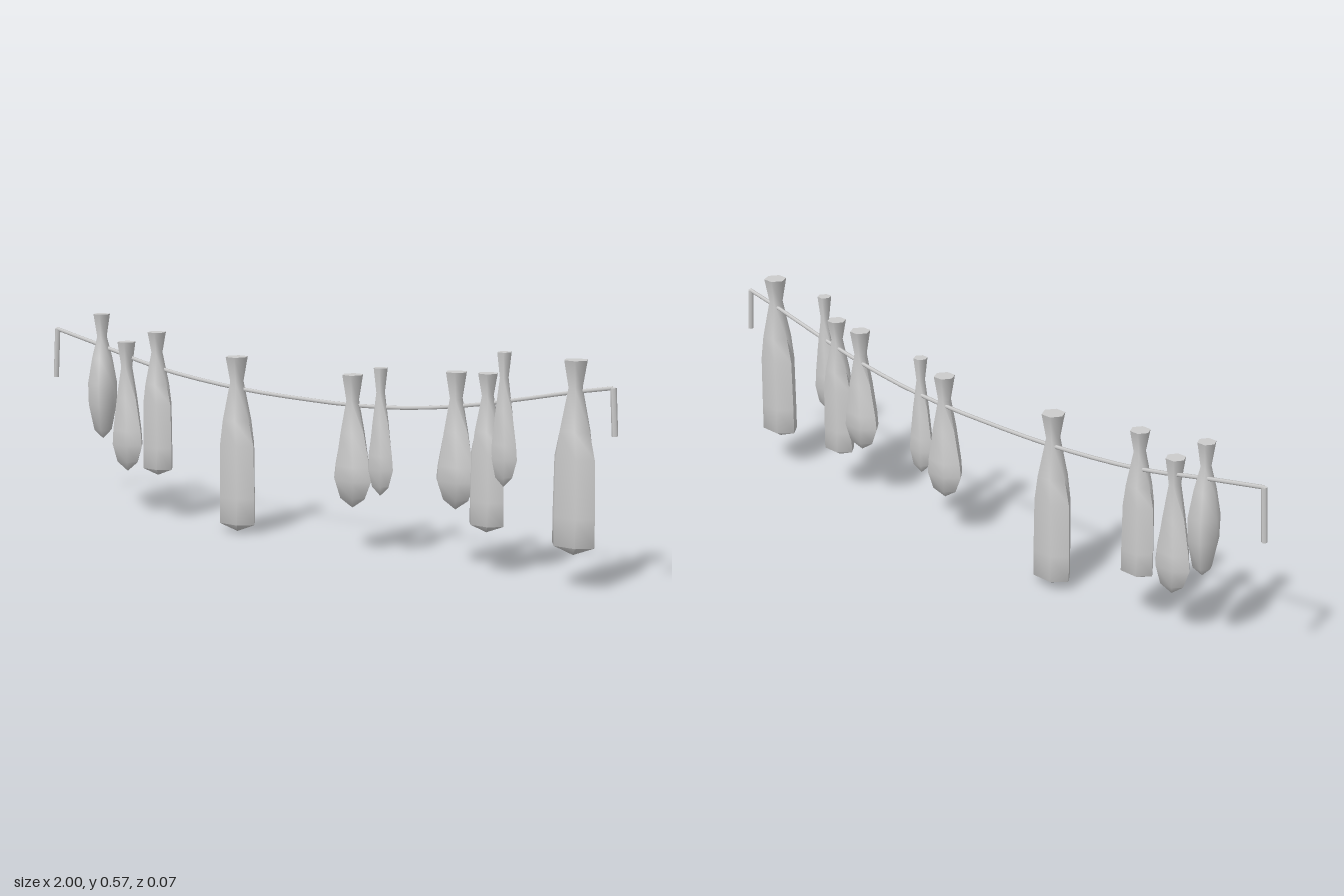
import * as THREE from 'three';
import { toCreasedNormals } from 'three/addons/utils/BufferGeometryUtils.js';

const material = new THREE.MeshStandardMaterial({ color: 0xcccccc });

// Sack profiles, bottom to top: [height 0..1, half width 0..1, depth squash]
const PROFILES = {
  straight: [[0, 0, 1], [0.05, 1, 0.67], [0.2, 1, 0.67], [0.5, 0.95, 0.7],
    [0.64, 0.7, 0.87], [0.86, 0.3, 1], [1, 0.5, 1], [1, 0, 1]],
  pear: [[0, 0, 1], [0.075, 0.66, 0.68], [0.21, 1, 0.63], [0.32, 0.92, 0.66],
    [0.57, 0.6, 0.8], [0.81, 0.28, 1], [1, 0.46, 1], [1, 0, 1]],
  spindle: [[0, 0, 1], [0.07, 0.6, 1], [0.28, 0.97, 1], [0.45, 1, 1],
    [0.65, 0.7, 1], [0.82, 0.33, 1], [1, 0.57, 1], [1, 0, 1]],
};

// [profile, x, bottom y, top y, half width]
const SACKS = [
  ['spindle', -0.79, 0.21, 0.573, 0.043],
  ['pear', -0.69, 0.125, 0.5, 0.058],
  ['straight', -0.568, 0.127, 0.537, 0.054],
  ['straight', -0.26, 0.003, 0.492, 0.064],
  ['pear', 0.158, 0.12, 0.478, 0.064],
  ['pear', 0.254, 0.163, 0.504, 0.043],
  ['pear', 0.505, 0.157, 0.515, 0.063],
  ['straight', 0.606, 0.11, 0.52, 0.054],
  ['pear', 0.657, 0.233, 0.578, 0.043],
  ['straight', 0.876, 0.087, 0.576, 0.064],
];

// Six-sided sack, flattened front to back ring by ring
function sackGeometry(type, bottom, top, halfWidth) {
  const profile = PROFILES[type];
  const points = profile.map(([t, r]) =>
    new THREE.Vector2(r * halfWidth, t * (top - bottom)));
  const geometry = new THREE.LatheGeometry(points, 6, Math.PI / 2);
  const pos = geometry.attributes.position;
  for (let i = 0; i < pos.count; i++) {
    pos.setZ(i, pos.getZ(i) * profile[i % profile.length][2]);
  }
  return toCreasedNormals(geometry, THREE.MathUtils.degToRad(68));
}

function addMesh(group, name, geometry) {
  const mesh = new THREE.Mesh(geometry, material);
  mesh.name = name;
  group.add(mesh);
  return mesh;
}

// Thin rod between two points
function addRod(group, name, from, to, radius) {
  const a = new THREE.Vector3(...from), b = new THREE.Vector3(...to);
  const rod = addMesh(group, name,
    new THREE.CylinderGeometry(radius, radius, a.distanceTo(b), 6));
  rod.position.copy(a).add(b).multiplyScalar(0.5);
  rod.quaternion.setFromUnitVectors(new THREE.Vector3(0, 1, 0), b.sub(a).normalize());
}

export function createModel() {
  const model = new THREE.Group();
  model.name = 'hangingSacks';

  // Sagging rope
  const z = -0.007;
  const sag = [[-0.985, 0.515], [-0.79, 0.478], [-0.57, 0.434], [-0.26, 0.403],
    [0, 0.395], [0.16, 0.395], [0.33, 0.404], [0.505, 0.425], [0.657, 0.452],
    [0.876, 0.496], [0.985, 0.515]];
  const curve = new THREE.CatmullRomCurve3(sag.map(([x, y]) => new THREE.Vector3(x, y, z)));
  addMesh(model, 'rope', new THREE.TubeGeometry(curve, 24, 0.0055, 6));

  // Loose rope ends hanging down on each side
  addRod(model, 'rightRopeEnd', [-0.983, 0.515, z], [-0.992, 0.372, z], 0.008);
  addRod(model, 'leftRopeEnd', [0.983, 0.515, z], [0.99, 0.396, z], 0.008);

  // Sacks tied along the rope
  for (const [type, x, bottom, top, halfWidth] of SACKS) {
    const sack = addMesh(model, 'sack', sackGeometry(type, bottom, top, halfWidth));
    sack.position.set(x, bottom, 0);
  }
  return model;
}
